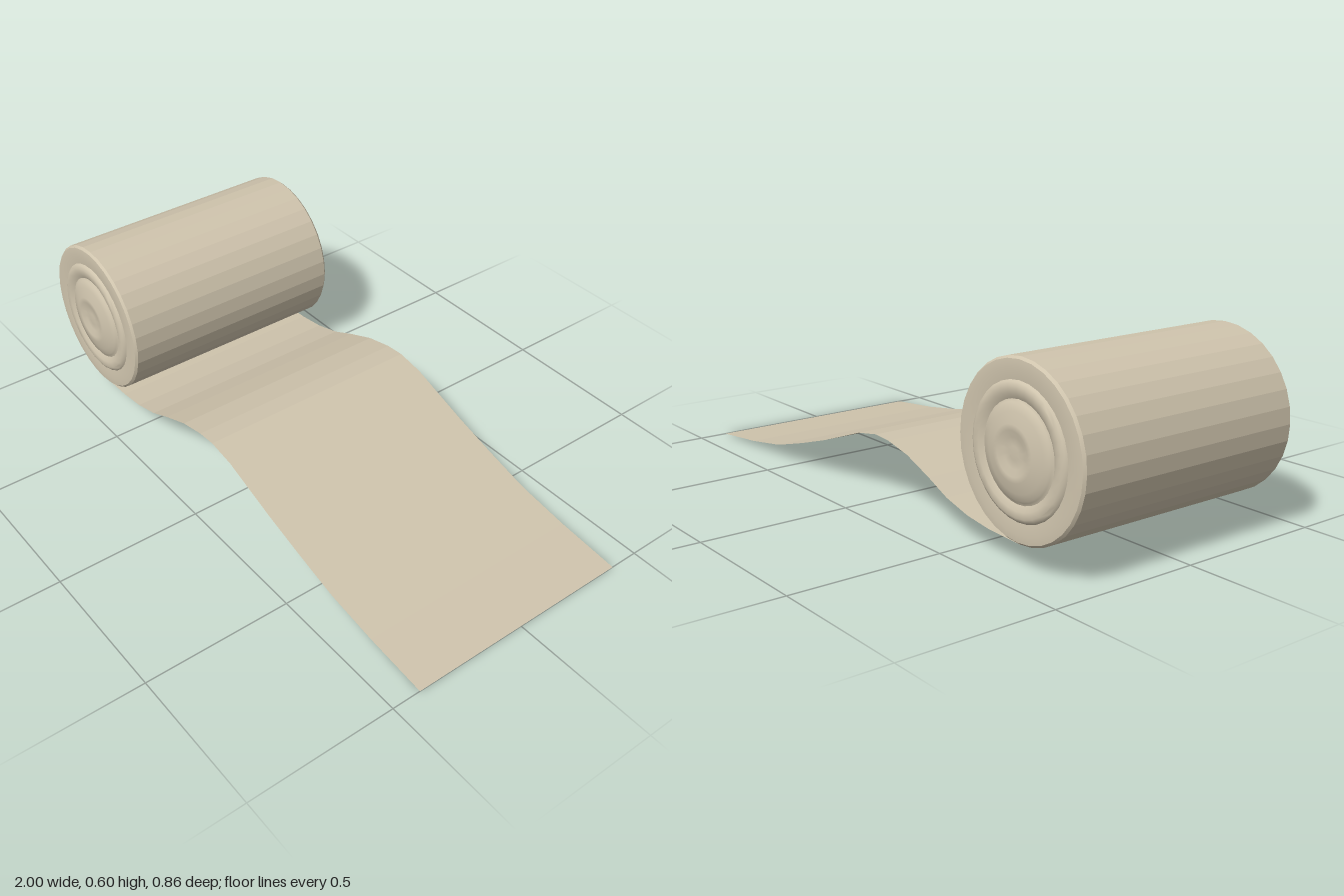
import * as THREE from 'three';
import { toCreasedNormals } from 'three/addons/utils/BufferGeometryUtils.js';

const R = 0.265, CX = -0.735, CY = 0.34, HALF = 0.4, SIDES = 32;

// Side profile of the unrolled sheet as x, y
const SHEET = [
  [CX, 0.075], [-0.6, 0.08], [-0.5, 0.093], [-0.4, 0.12], [-0.31, 0.16], [-0.2, 0.203],
  [-0.1, 0.225], [-0.03, 0.23], [0.07, 0.213], [0.17, 0.178], [0.28, 0.14], [0.43, 0.095],
  [0.585, 0.053], [0.61, 0.048], [0.78, 0.022], [1, 0],
];

// Layered end of the roll, as radius, z
const END = [
  [R, 0.4], [0.258, 0.408], [0.235, 0.41], [0.2, 0.406], [0.195, 0.412], [0.185, 0.417],
  [0.165, 0.416], [0.148, 0.407], [0.14, 0.41], [0.135, 0.415], [0.115, 0.418],
  [0.082, 0.43], [0.065, 0.43], [0.045, 0.422], [0.02, 0.422], [0, 0.424],
];

function flat(geometry) {
  const g = geometry.toNonIndexed();
  g.computeVertexNormals();
  return g;
}

export function createModel() {
  const model = new THREE.Group();
  model.name = 'unrolledMat';
  const fabric = new THREE.MeshStandardMaterial({ color: 0xcfc4ad, side: THREE.DoubleSide });
  fabric.name = 'beige fabric';

  const add = (name, geometry, parent) => {
    const mesh = new THREE.Mesh(geometry, fabric);
    mesh.name = name;
    parent.add(mesh);
    return mesh;
  };

  // Roll body
  const roll = new THREE.Group();
  roll.name = 'roll';
  roll.position.set(CX, CY, 0);
  model.add(roll);
  const body = new THREE.CylinderGeometry(R, R, HALF * 2, SIDES, 1, true);
  add('rollBody', flat(body.rotateX(Math.PI / 2)), roll);

  // Ringed ends, one on each side
  const points = END.map(([r, z]) => new THREE.Vector2(r, z));
  for (const [name, turn] of [['frontEnd', 1], ['backEnd', -1]]) {
    const end = new THREE.LatheGeometry(points, SIDES).rotateX(turn * Math.PI / 2);
    add(name, toCreasedNormals(end, 0.7), roll);
  }

  // Wavy sheet leaving the underside of the roll
  const sheet = new THREE.PlaneGeometry(1, HALF * 2, SHEET.length - 1, 1).rotateX(-Math.PI / 2);
  const pos = sheet.attributes.position;
  for (let i = 0; i < pos.count; i++) {
    const [x, y] = SHEET[i % SHEET.length];
    pos.setXYZ(i, x, y, pos.getZ(i));
  }
  add('sheet', flat(sheet), model);

  return model;
}
